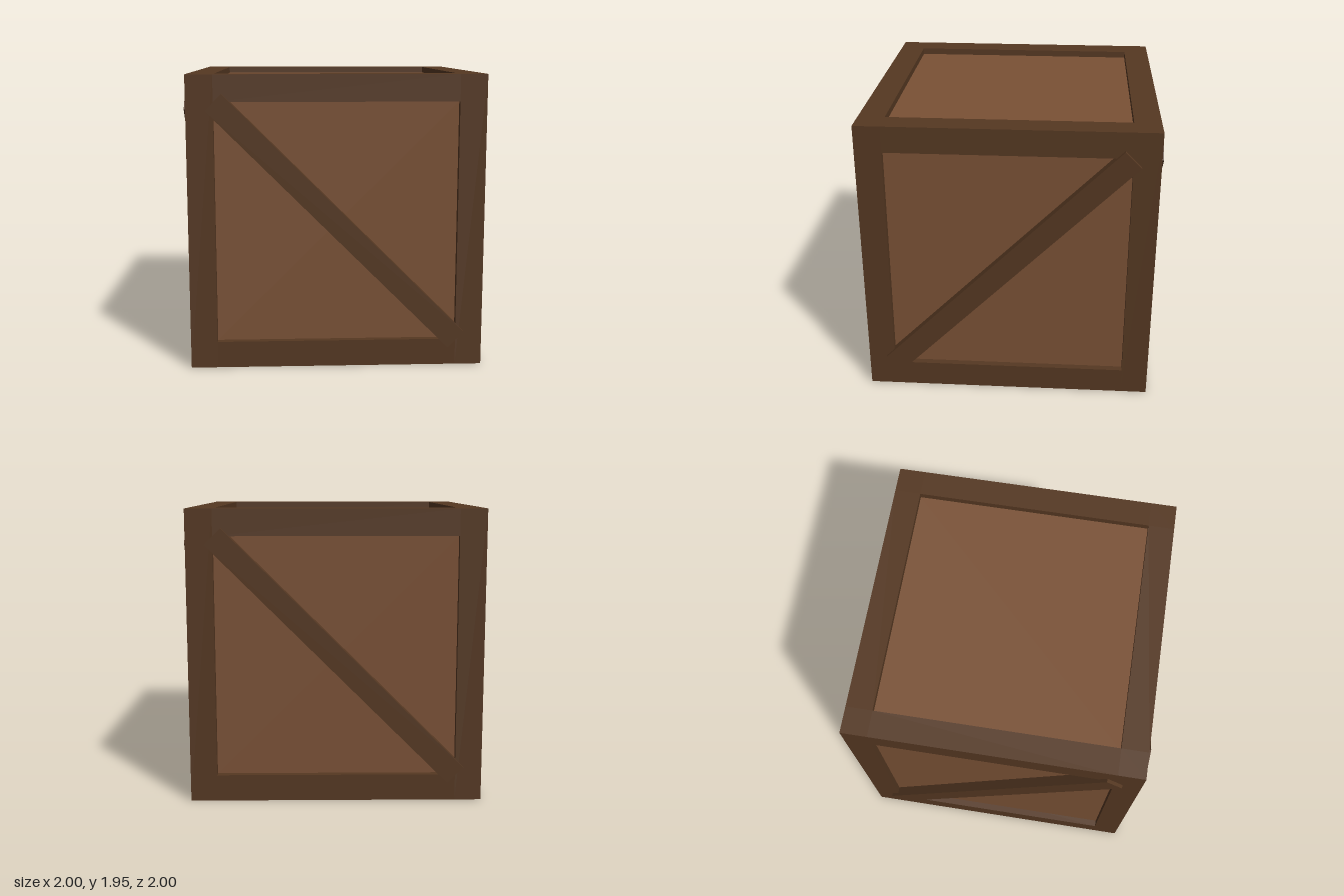
import * as THREE from 'three';

const HALF = 0.977;    // half the frame's outer side
const BEAM = 0.177;    // frame beam width
const RECESS = 0.045;  // depth of the panels behind the frame

export function createModel() {
  const frameWood = new THREE.MeshStandardMaterial({ color: 0x553822 });
  const panelWood = new THREE.MeshStandardMaterial({ color: 0x7a5135 });

  const crate = new THREE.Group();
  crate.name = 'crate';

  function box(name, material, size, position, parent) {
    const mesh = new THREE.Mesh(new THREE.BoxGeometry(...size), material);
    mesh.name = name;
    mesh.position.set(...position);
    parent.add(mesh);
    return mesh;
  }

  // Inner box forming all six recessed panels
  const inner = 2 * (HALF - RECESS);
  box('panels', panelWood, [inner, inner, inner], [0, HALF, 0], crate);

  // Frame: four corner posts, with rails fitted between them
  const frame = new THREE.Group();
  frame.name = 'frame';
  crate.add(frame);
  const c = HALF - BEAM / 2;
  const span = 2 * (HALF - BEAM);
  for (const a of [-1, 1]) {
    for (const b of [-1, 1]) {
      box('cornerPost', frameWood, [BEAM, 2 * HALF, BEAM], [a * c, HALF, b * c], frame);
      box('railAcross', frameWood, [span, BEAM, BEAM], [0, HALF + a * c, b * c], frame);
      box('railDeep', frameWood, [BEAM, BEAM, span], [a * c, HALF + b * c, 0], frame);
    }
  }

  // Diagonal braces on the four sides, slanting alternately
  const depth = 0.1;
  ['front', 'left', 'back', 'right'].forEach((side, i) => {
    const holder = new THREE.Group();
    holder.name = side + 'Brace';
    holder.position.y = HALF;
    holder.rotation.y = i * Math.PI / 2;
    const brace = box('brace', frameWood, [2.26, 0.152, depth], [0, 0, 1 - depth / 2], holder);
    brace.rotation.z = (i % 2 ? 1 : -1) * Math.PI / 4;
    crate.add(holder);
  });

  return crate;
}
